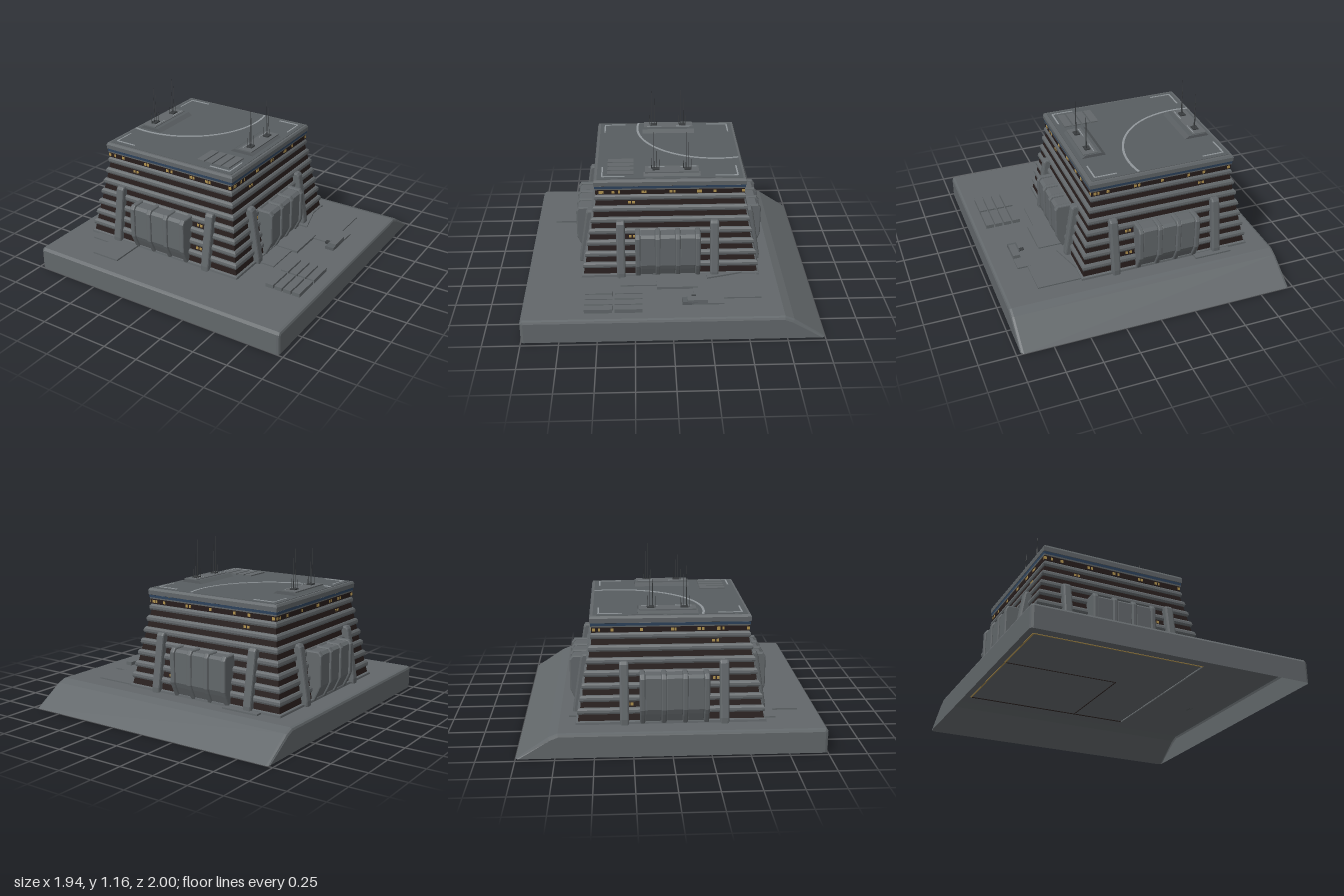
import * as THREE from 'three';

const mat = (name, color, side = THREE.FrontSide) => {
  const m = new THREE.MeshStandardMaterial({ color, side });
  m.name = name;
  return m;
};

export function createModel() {
  const grey = mat('concrete grey', 0x62676a, THREE.DoubleSide);
  const panelGrey = mat('panel grey', 0x585d60);
  const darkGrey = mat('dark grey', 0x3a3d3f);
  const glass = mat('dark brown glazing', 0x261c1b);
  const amber = mat('amber window', 0xb0924f);
  const blue = mat('blue strip', 0x2f4560);
  const pale = mat('pale marking', 0x90969a);

  const model = new THREE.Group();
  model.name = 'blockBuilding';
  const CX = -0.195; // centre of the building on its plinth
  const GROUND = 0.163;
  const ROOF = 0.86;

  const add = (parent, name, geo, material) => {
    const flat = geo.index ? geo.toNonIndexed() : geo;
    flat.computeVertexNormals();
    const mesh = new THREE.Mesh(flat, material);
    mesh.name = name;
    parent.add(mesh);
    return mesh;
  };
  const box = (parent, name, material, x0, x1, y0, y1, z0, z1) =>
    add(parent, name, new THREE.BoxGeometry(x1 - x0, y1 - y0, z1 - z0)
      .translate((x0 + x1) / 2, (y0 + y1) / 2, (z0 + z1) / 2), material);
  // square solid from [half width, height] pairs, listed bottom to top
  const squareStack = (parent, name, material, pts) =>
    add(parent, name, new THREE.LatheGeometry(
      pts.map(([h, y]) => new THREE.Vector2(h * Math.SQRT2, y)), 4, Math.PI / 4), material);
  // (z, y) outline swept along x, centred on x = cx
  const sweep = (pts, width, cx, bevel) => {
    const shape = new THREE.Shape(pts.map(([z, y]) => new THREE.Vector2(z, y)));
    const geo = new THREE.ExtrudeGeometry(shape, {
      depth: width - 2 * bevel, bevelEnabled: true, bevelSize: bevel,
      bevelThickness: bevel, bevelOffset: -bevel, bevelSegments: 2,
    });
    return geo.rotateY(-Math.PI / 2).translate(cx + width / 2 - bevel, 0, 0);
  };

  // Plinth shell: ramped back edge, chamfered sides, open underneath
  const plinth = sweep([[-1, 0], [1, 0], [1, 0.145], [0.985, GROUND], [-0.73, GROUND], [-0.79, 0.139]], 1.94, 0, 0.02);
  const pp = plinth.attributes.position;
  for (let i = 0; i < pp.count; i++) {
    if (pp.getY(i) < 0.025) pp.setY(i, 0);
    if (pp.getZ(i) < -0.9 && pp.getZ(i) > -0.99) pp.setZ(i, -0.98);
  }
  const shell = [];
  for (let i = 0; i < pp.count; i += 3) {
    if (Math.max(pp.getY(i), pp.getY(i + 1), pp.getY(i + 2)) < 1e-4) continue;
    for (let j = i; j < i + 3; j++) shell.push(pp.getX(j), pp.getY(j), pp.getZ(j));
  }
  const shellGeo = new THREE.BufferGeometry();
  shellGeo.setAttribute('position', new THREE.Float32BufferAttribute(shell, 3));
  add(model, 'plinth', shellGeo, grey);

  const building = new THREE.Group();
  building.name = 'building';
  building.position.x = CX;
  model.add(building);

  // Stepped body: dark core with projecting rounded ledges
  const half = (y) => 0.517 + 0.19 * (0.715 - y);
  squareStack(building, 'glazedCore', glass, [[half(GROUND) - 0.012, GROUND], [half(0.79) - 0.012, 0.8]]);
  for (let k = 0; k < 7; k++) {
    const y = 0.728 - 0.08 * k, h = half(y);
    squareStack(building, 'ledge', grey, [
      [h - 0.02, y - 0.023], [h, y - 0.02], [h + 0.005, y - 0.008],
      [h + 0.003, y + 0.008], [h - 0.006, y + 0.02], [h - 0.022, y + 0.023]]);
  }
  squareStack(building, 'footing', grey, [[0.622, GROUND], [0.62, 0.178], [0.6, 0.186]]);
  squareStack(building, 'topGlazing', glass, [[0.48, 0.748], [0.511, 0.75], [0.511, 0.79]]);
  squareStack(building, 'roofSoffit', grey, [[0.49, 0.784], [0.515, 0.786], [0.516, 0.795]]);
  squareStack(building, 'blueStrip', blue, [[0.516, 0.795], [0.518, 0.813]]);
  squareStack(building, 'roofEdge', grey, [[0.5, 0.811], [0.521, 0.815], [0.523, 0.845], [0.515, ROOF], [0, ROOF]]);
  box(building, 'roofPanel', panelGrey, -0.5, 0.5, ROOF, ROOF + 0.003, -0.5, 0.5);

  // Small repeatable random numbers for the lit windows
  let seed = 7;
  const rand = () => (seed = (seed * 16807) % 2147483647) / 2147483647;

  // Four facades: pillars, ribbed bay, lit windows
  for (let k = 0; k < 4; k++) {
    const face = new THREE.Group();
    face.name = ['frontFacade', 'leftFacade', 'backFacade', 'rightFacade'][k];
    face.rotation.y = k * Math.PI / 2;
    building.add(face);
    const shift = [0, -0.02, 0, 0.02][k];
    const spread = k % 2 ? 0.325 : 0.375;
    for (const s of [-1, 1]) {
      add(face, 'pillar', sweep([[0.54, GROUND], [0.645, GROUND], [0.645, 0.2], [0.588, 0.555], [0.575, 0.573], [0.5, 0.573]],
        0.06, shift + s * spread, 0.012), grey);
    }
    const bay = (d, top) => [[0.5, GROUND], [0.62 - d, GROUND], [0.655 - d, 0.235],
      [0.67 - d, 0.27], [0.67 - d, 0.48], [0.65 - d, top], [0.5, top]];
    for (let i = 0; i < 3; i++)
      add(face, 'bayPanel', sweep(bay(0.012, 0.498), 0.118, shift + (i - 1) * 0.138, 0.012), grey);
    for (let i = 0; i < 4; i++)
      add(face, 'bayRib', sweep(bay(0, 0.508), 0.036, shift + (i - 1.5) * 0.138, 0.009), grey);

    const light = (x, y, z, w = 0.02, h = 0.02) =>
      box(face, 'litWindow', amber, x - w / 2, x + w / 2, y - h / 2, y + h / 2, z - 0.006, z + 0.002);
    for (const x of [-0.49, -0.38, -0.2, 0, 0.18, 0.31, 0.49]) {
      light(x + (rand() - 0.5) * 0.03, 0.768, 0.511);
      if (rand() > 0.5) light(Math.min(0.49, x + 0.03), 0.768, 0.511, 0.014);
    }
    for (const row of [1, 4, 6]) {
      const y = 0.768 - 0.08 * row, x = (rand() > 0.5 ? 1 : -1) * (0.27 + rand() * 0.03);
      for (const dx of [0, 0.027]) light(x + dx, y, half(y) - 0.011, 0.018, 0.018);
    }
  }

  // Roof markings: corner brackets and a sweeping arc
  const markY = [ROOF + 0.002, ROOF + 0.007];
  for (const sx of [-1, 1]) for (const sz of [-1, 1]) {
    const x = sx * 0.468, z = sz * 0.465;
    const a = x - sx * 0.155, b = z - sz * 0.155;
    box(building, 'cornerMark', pale, Math.min(a, x), Math.max(a, x), ...markY, z - 0.005, z + 0.005);
    box(building, 'cornerMark', pale, x - 0.005, x + 0.005, ...markY, Math.min(b, z), Math.max(b, z));
  }
  const arc = new THREE.Shape();
  arc.absarc(-0.585, 0.355, 0.583, -1.77, 0.25, false);
  arc.absarc(-0.585, 0.355, 0.567, 0.25, -1.77, true);
  add(model, 'roofArc', new THREE.ExtrudeGeometry(arc, { depth: 0.005, bevelEnabled: false, curveSegments: 32 })
    .rotateX(-Math.PI / 2).translate(0, ROOF + 0.002, 0), pale);

  // Roof vents
  for (let i = 0; i < 4; i++)
    box(model, 'roofVent', grey, -0.01 + i * 0.067, 0.045 + i * 0.067, ROOF, ROOF + 0.011, 0.25, 0.43);

  // Two antenna platforms
  for (const [x0, x1, ax, s] of [[-0.68, -0.49, -0.605, 1], [0.095, 0.28, 0.21, -1]]) {
    const p = new THREE.Group();
    p.name = 'antennaPlatform';
    model.add(p);
    const slab = new THREE.BoxGeometry(x1 - x0, 0.024, 0.39).translate((x0 + x1) / 2, ROOF + 0.012, -0.015);
    const q = slab.attributes.position;
    for (let i = 0; i < q.count; i++)
      if (q.getY(i) > ROOF + 0.01) q.setX(i, q.getX(i) + (q.getX(i) < (x0 + x1) / 2 ? 0.035 : -0.035));
    add(p, 'platformSlab', slab, panelGrey);
    box(p, 'platformDeck', grey, ax - 0.055, ax + 0.05, ROOF + 0.02, ROOF + 0.028, -0.2, 0.17);
    for (const z of [-0.125, 0.095]) {
      box(p, 'equipmentBox', darkGrey, ax - 0.02, ax + 0.02, ROOF + 0.028, ROOF + 0.036, z - 0.025, z + 0.025);
      box(p, 'cableTray', pale, ax + s * 0.035, ax + s * 0.035 + 0.005, ROOF + 0.028, ROOF + 0.033, z - 0.06, z + 0.05);
      for (const [dx, dz, top] of [[0, 0.013, 1.16], [0.003, -0.005, 1.1], [-0.01, 0.03, 0.965], [0.01, -0.022, 0.965]]) {
        const h = top - ROOF - 0.02;
        add(p, 'antenna', new THREE.CylinderGeometry(0.0012, 0.0025, h, 6)
          .translate(ax + dx, top - h / 2, z + dz), darkGrey);
      }
    }
  }

  // Ground vents on the plinth
  for (const z of [0.2, 0.4]) for (let i = 0; i < 4; i++)
    box(model, 'groundVent', grey, 0.63 + i * 0.066, 0.685 + i * 0.066, GROUND, 0.19, z, z + 0.185);

  // Raised paving slabs beside the building
  const paving = [
    [-0.75, -0.4, 0.55, 0.69, 0.172], [-0.61, -0.4, 0.6, 0.86, 0.174], [-0.67, -0.4, -0.67, -0.55, 0.174],
    [0.4, 0.6, -0.18, 0.1, 0.18], [0.4, 0.555, 0.08, 0.35, 0.172], [0.4, 0.73, -0.6, -0.145, 0.172],
    [0.7, 0.8, -0.345, -0.145, 0.173]];
  for (const [x0, x1, z0, z1, top] of paving)
    box(model, 'pavingSlab', grey, x0, x1, GROUND, top, z0, z1);
  const wedge = new THREE.Shape([[0.42, 0.5], [0.42, 0.25], [0.49, 0.25]].map(([x, y]) => new THREE.Vector2(x, y)));
  add(model, 'pavingWedge', new THREE.ExtrudeGeometry(wedge, { depth: 0.02, bevelEnabled: false })
    .rotateX(-Math.PI / 2).translate(0, GROUND, 0), grey);

  // Utility unit on the plinth
  box(model, 'utilityBase', panelGrey, 0.735, 0.8, GROUND, 0.185, -0.17, -0.065);
  box(model, 'utilityTop', grey, 0.75, 0.8, GROUND, 0.198, -0.235, -0.1);
  box(model, 'utilityPipe', darkGrey, 0.7, 0.745, GROUND, 0.178, -0.16, -0.13);

  // Outline and seams inside the hollow underside
  [amber, pale, glass, amber].forEach((m, k) => {
    box(building, 'undersideOutline', m, -0.61, 0.61, 0.159, 0.162, 0.6, 0.61).rotation.y = k * Math.PI / 2;
  });
  box(building, 'undersideSeam', glass, -0.6, 0.21, 0.159, 0.162, 0.1, 0.106);
  box(building, 'undersideSeam', glass, 0.204, 0.21, 0.159, 0.162, -0.6, 0.1);
  return model;
}
